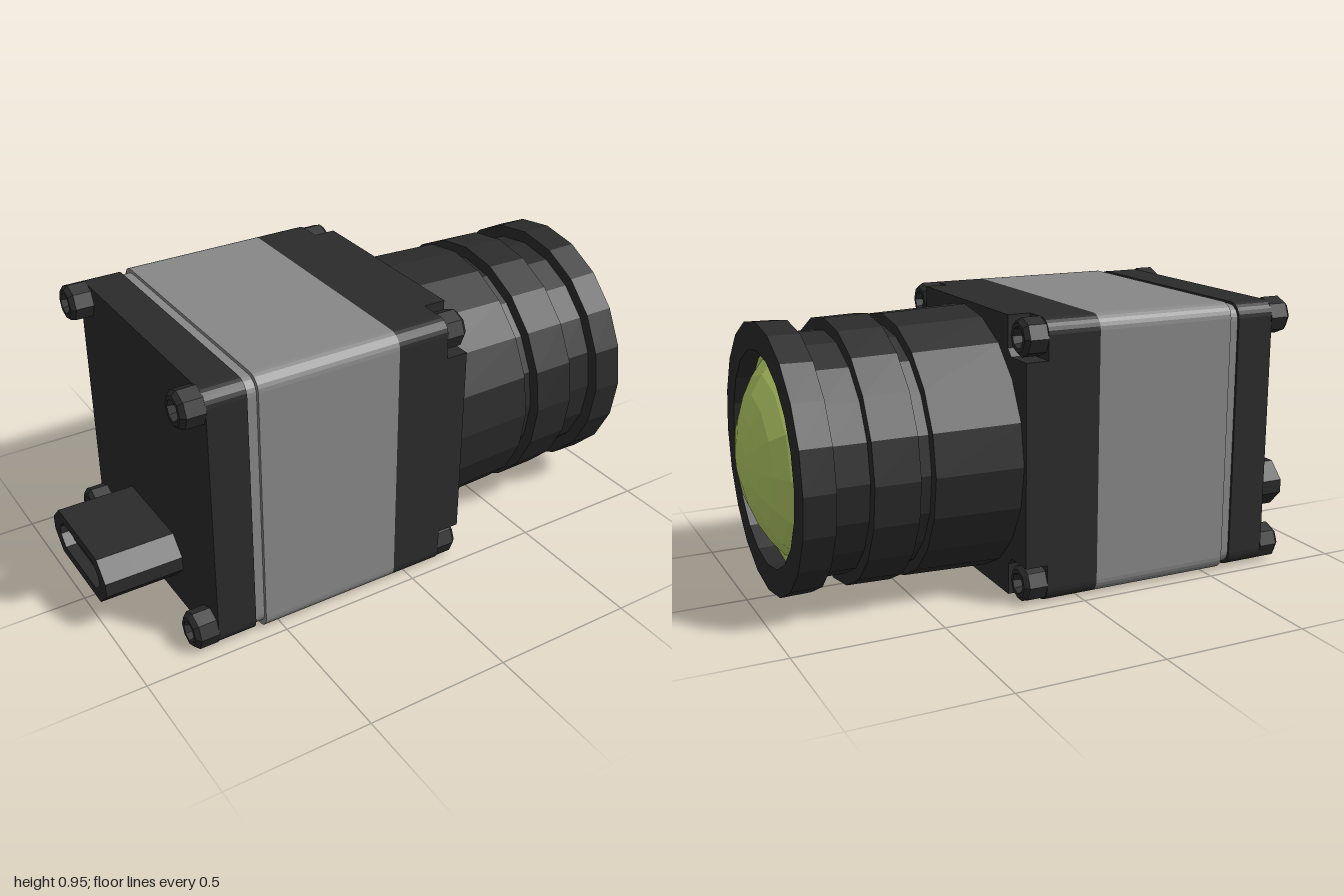
import * as THREE from 'three';

const CY = 0.475; // height of the optical axis
const HALF = 0.472; // half width of the square housing

export function createModel() {
  const group = new THREE.Group();
  const mat = (color) => new THREE.MeshStandardMaterial({ color, flatShading: true });
  const black = mat(0x2b2b2b), grey = mat(0x888888), glass = mat(0xb9d068);

  const add = (name, geo, material, y = CY, z = 0) => {
    const mesh = new THREE.Mesh(geo, material);
    mesh.name = name;
    mesh.position.set(0, y, z);
    group.add(mesh);
    return mesh;
  };

  // Extrude a cross-section along x, from x0 to x1
  const extrudeX = (shape, x0, x1) =>
    new THREE.ExtrudeGeometry(shape, { depth: x1 - x0, bevelEnabled: false, curveSegments: 3 })
      .rotateY(Math.PI / 2).translate(x0, 0, 0);

  // Spin a profile of [x, radius] pairs around the x axis
  const latheX = (profile, sides) =>
    new THREE.LatheGeometry(profile.map(([x, r]) => new THREE.Vector2(r, x)), sides)
      .rotateZ(-Math.PI / 2);

  const roundedSquare = (h, r) => {
    const s = new THREE.Shape();
    const c = h - r;
    [[c, c], [-c, c], [-c, -c], [c, -c]].forEach(([x, y], i) =>
      s.absarc(x, y, r, i * Math.PI / 2, (i + 1) * Math.PI / 2, false));
    s.closePath();
    return s;
  };

  // Square with its four corners cut out for the screw heads
  const notchedSquare = (h, n) => {
    const k = 0.025, pts = [];
    const corner = [[h, n], [n + k, n], [n, n + k], [n, h]];
    for (let i = 0; i < 4; i++) {
      const a = i * Math.PI / 2, c = Math.cos(a), s = Math.sin(a);
      corner.forEach(([x, y]) => pts.push(new THREE.Vector2(x * c - y * s, x * s + y * c)));
    }
    return new THREE.Shape(pts);
  };

  // Flat slot with chamfered corners
  const slot = (w, h, c) => new THREE.Shape([
    [w, -h + c], [w, h - c], [w - c, h], [-w + c, h],
    [-w, h - c], [-w, -h + c], [-w + c, -h], [w - c, -h],
  ].map(([x, y]) => new THREE.Vector2(x, y)));

  // Housing
  add('backPlate', extrudeX(roundedSquare(HALF - 0.004, 0.05), -0.73, -0.595), black);
  add('housingSeam', extrudeX(roundedSquare(HALF - 0.012, 0.05), -0.6, -0.55), grey);
  add('housing', extrudeX(roundedSquare(HALF, 0.05), -0.56, -0.06), grey);
  add('frontPlate', extrudeX(roundedSquare(HALF, 0.05), -0.06, 0.125), black);
  add('frontPlateFace', extrudeX(notchedSquare(HALF, 0.34), 0.125, 0.203), black);

  // Corner screws with sunken sockets, front and back
  const head = [[0, 0], [0, 0.064], [0.065, 0.064], [0.08, 0.05], [0.08, 0.036], [0.05, 0.028], [0.05, 0]];
  const frontScrew = latheX(head, 8).translate(0.123, 0, 0);
  const backScrew = latheX(head, 8).rotateY(Math.PI).translate(-0.728, 0, 0);
  for (const sy of [-1, 1]) for (const sz of [-1, 1]) {
    add('frontScrew', frontScrew, black, CY + sy * 0.41, sz * 0.41);
    add('backScrew', backScrew, black, CY + sy * 0.41, sz * 0.41);
  }

  // Lens barrel with grooves and a hollow front rim
  add('lensBarrel', latheX([
    [0.19, 0], [0.19, 0.458], [0.5, 0.447], [0.5, 0.41], [0.55, 0.41], [0.55, 0.452],
    [0.7, 0.448], [0.7, 0.408], [0.82, 0.408], [0.82, 0.45], [0.925, 0.452],
    [0.925, 0.36], [0.855, 0.358], [0.855, 0],
  ], 20), black);

  // Domed front glass on its seat
  add('glassSeat', latheX([[0.85, 0], [0.85, 0.358], [0.865, 0.358], [0.865, 0]], 20), glass);
  const R = 0.49, dome = [];
  for (let i = 0; i <= 5; i++) {
    const a = 0.767 * (1 - i / 5);
    dome.push([1 - R + R * Math.cos(a), R * Math.sin(a)]);
  }
  add('frontGlass', latheX(dome, 12), glass);

  // Cable socket on the back
  const shell = slot(0.222, 0.085, 0.06);
  shell.holes.push(slot(0.165, 0.05, 0.035));
  add('socketShell', extrudeX(shell, -1, -0.9), black, 0.182);
  add('socketBase', extrudeX(slot(0.222, 0.085, 0.06), -0.9, -0.72), black, 0.182);
  add('socketTongue', extrudeX(slot(0.12, 0.016, 0.01), -0.975, -0.9), black, 0.182);

  return group;
}
